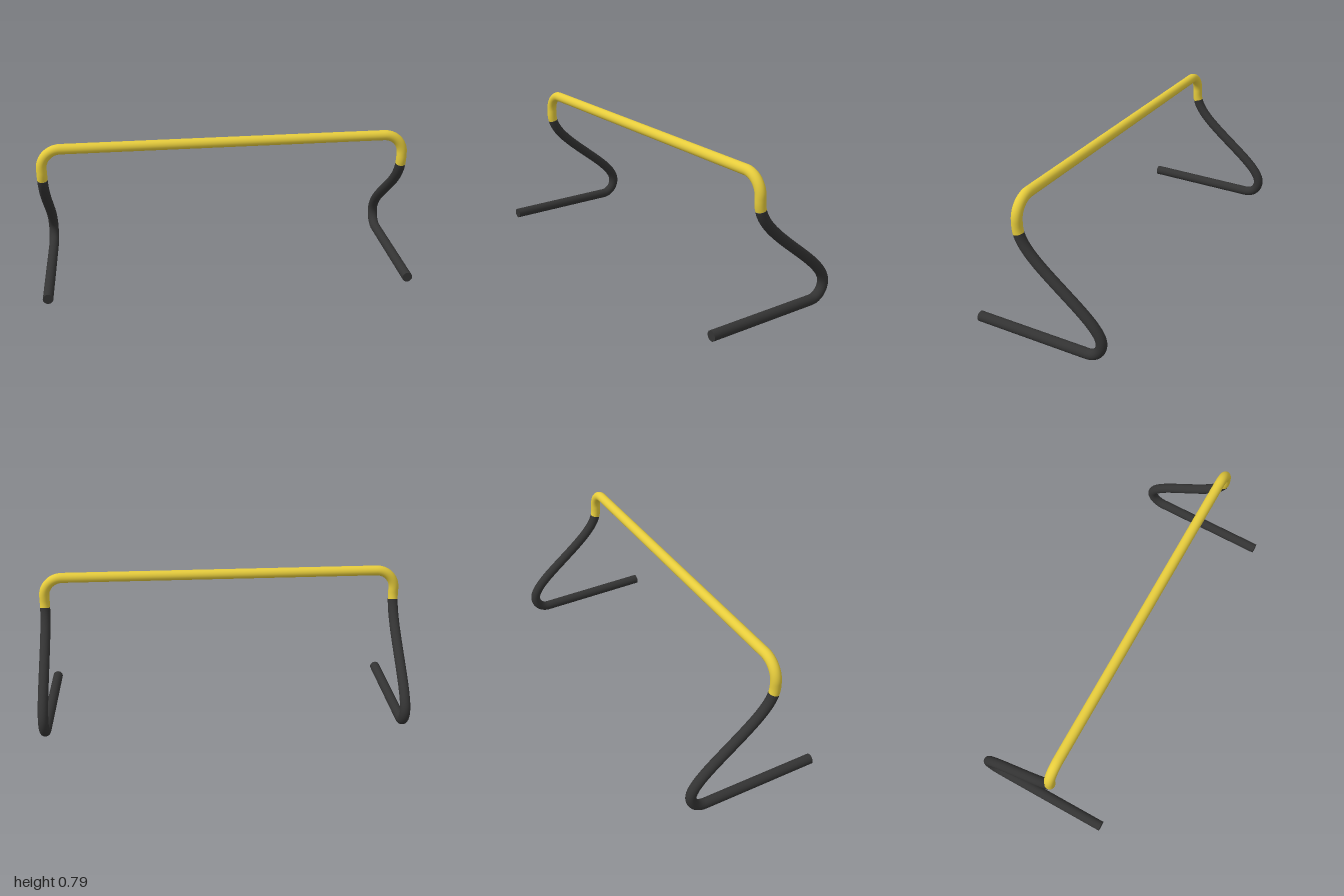
import * as THREE from 'three';

const R = 0.0275;          // tube radius
const X = 0.9725;          // leg centreline
const TOP = 0.762;         // crossbar centreline height
const BAR_Z = 0.102;
const BEND = 0.105;        // crossbar corner radius
const K = 0.5523;          // quarter-circle handle ratio

const dark = new THREE.MeshStandardMaterial({ color: 0x333333 });
const yellow = new THREE.MeshStandardMaterial({ color: 0xe6cc3c });

const v = (x, y, z) => new THREE.Vector3(x, y, z);

// Joins point lists into one path: 2 points = line, 4 points = cubic bend
function makePath(segments) {
  const path = new THREE.CurvePath();
  for (const s of segments) {
    path.add(s.length === 2 ? new THREE.LineCurve3(...s) : new THREE.CubicBezierCurve3(...s));
  }
  return path;
}

function tube(name, path, steps, material) {
  const mesh = new THREE.Mesh(new THREE.TubeGeometry(path, steps, R, 24, false), material);
  mesh.name = name;
  return mesh;
}

// Foot rail, rear bend and S-shaped upright as one bent tube
function makeLeg(side) {
  const p = (z, y) => v(side * X, y, z);
  const leg = new THREE.Group();
  leg.name = side > 0 ? 'leftLeg' : 'rightLeg';
  const path = makePath([
    [p(0.375, R), p(-0.264, R)],
    [p(-0.264, R), p(-0.264 - 0.082 * K, R), p(-0.346, 0.11 - 0.082 * K), p(-0.346, 0.11)],
    [p(-0.346, 0.11), p(-0.346, 0.18), p(-0.235, 0.263), p(-0.134, 0.344)],
    [p(-0.134, 0.344), p(-0.0136, 0.44), p(0.0743, 0.512), p(0.0965, 0.592)],
  ]);
  leg.add(tube('legTube', path, 140, dark));

  // Flat end of the foot
  const cap = new THREE.Mesh(new THREE.CircleGeometry(R, 24), dark);
  cap.name = 'footCap';
  cap.position.set(side * X, R, 0.375);
  leg.add(cap);
  return leg;
}

// Crossbar with rounded corners and short drops that meet the legs
function makeCrossbar() {
  const end = (s) => [
    [v(s * X, 0.592, 0.0965), v(s * X, 0.606, 0.1), v(s * X, 0.621, BAR_Z), v(s * X, 0.635, BAR_Z)],
    [v(s * X, 0.635, BAR_Z), v(s * X, TOP - BEND, BAR_Z)],
    [v(s * X, TOP - BEND, BAR_Z), v(s * X, TOP - BEND * (1 - K), BAR_Z),
      v(s * (X - BEND * (1 - K)), TOP, BAR_Z), v(s * (X - BEND), TOP, BAR_Z)],
  ];
  const right = end(-1);
  const left = end(1).reverse().map((s) => s.reverse());
  const span = [v(-X + BEND, TOP, BAR_Z), v(X - BEND, TOP, BAR_Z)];
  return tube('crossbar', makePath([...right, span, ...left]), 240, yellow);
}

export function createModel() {
  const model = new THREE.Group();
  model.name = 'hurdle';
  model.add(makeLeg(1), makeLeg(-1), makeCrossbar());
  return model;
}
